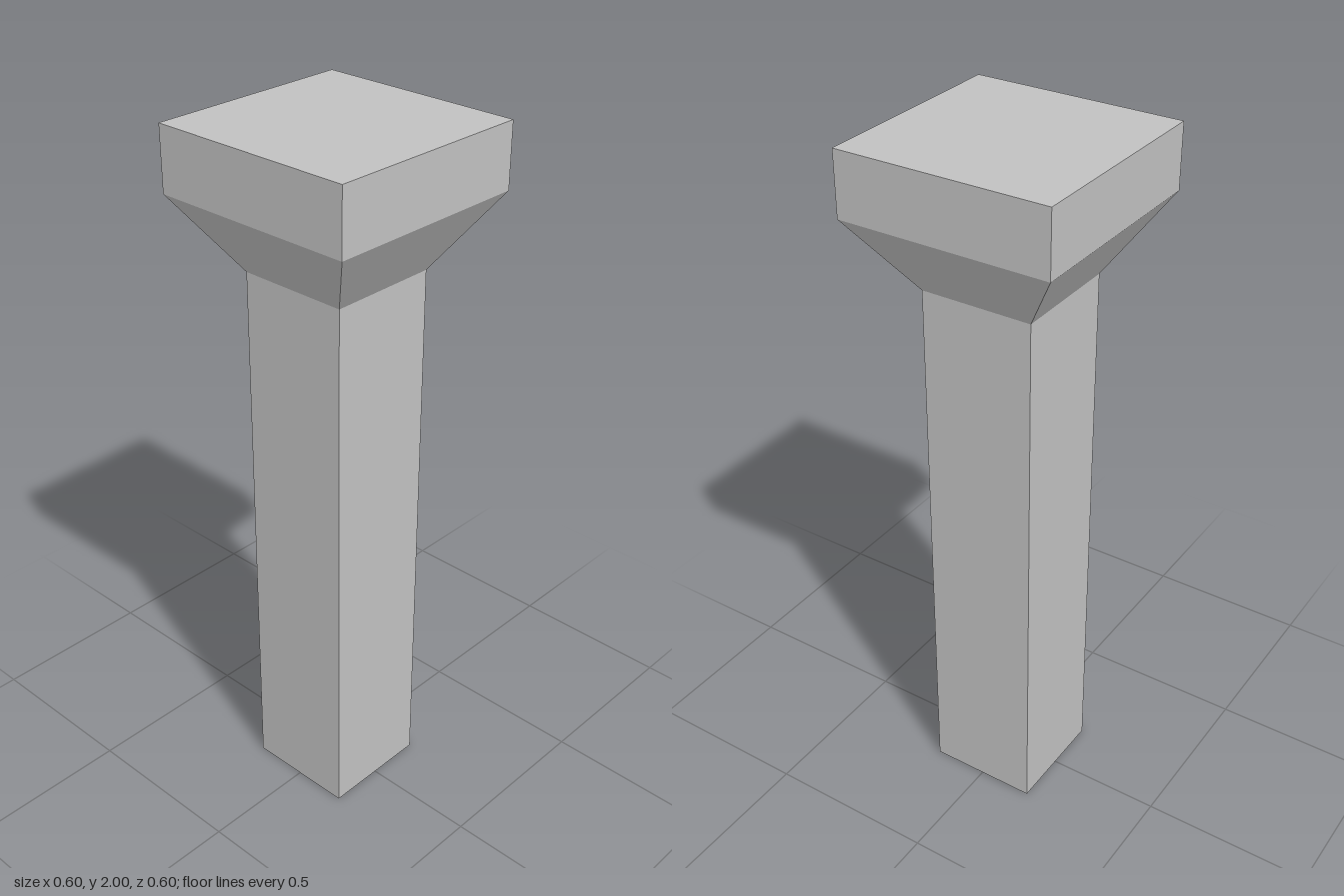
import * as THREE from 'three';

const SHAFT_HALF = 0.162, CAP_HALF = 0.302;
const SHAFT_TOP = 1.61, FLARE_TOP = 1.82, TOP = 2;

export function createModel() {
  const group = new THREE.Group();
  group.name = 'column';
  const stone = new THREE.MeshStandardMaterial({ color: 0xc0c0c0, flatShading: true });
  stone.name = 'grey stone';

  const add = (name, geometry, y0, y1) => {
    const mesh = new THREE.Mesh(geometry, stone);
    mesh.name = name;
    mesh.position.y = (y0 + y1) / 2;
    group.add(mesh);
  };

  // Square shaft
  add('shaft', new THREE.BoxGeometry(SHAFT_HALF * 2, SHAFT_TOP, SHAFT_HALF * 2), 0, SHAFT_TOP);

  // Four-sided flare from the shaft out to the cap
  const flare = new THREE.CylinderGeometry(
    CAP_HALF * Math.SQRT2, SHAFT_HALF * Math.SQRT2, FLARE_TOP - SHAFT_TOP, 4, 1, true);
  flare.rotateY(Math.PI / 4);
  add('flaredCapital', flare, SHAFT_TOP, FLARE_TOP);

  // Square cap slab
  add('capSlab', new THREE.BoxGeometry(CAP_HALF * 2, TOP - FLARE_TOP, CAP_HALF * 2), FLARE_TOP, TOP);

  return group;
}
